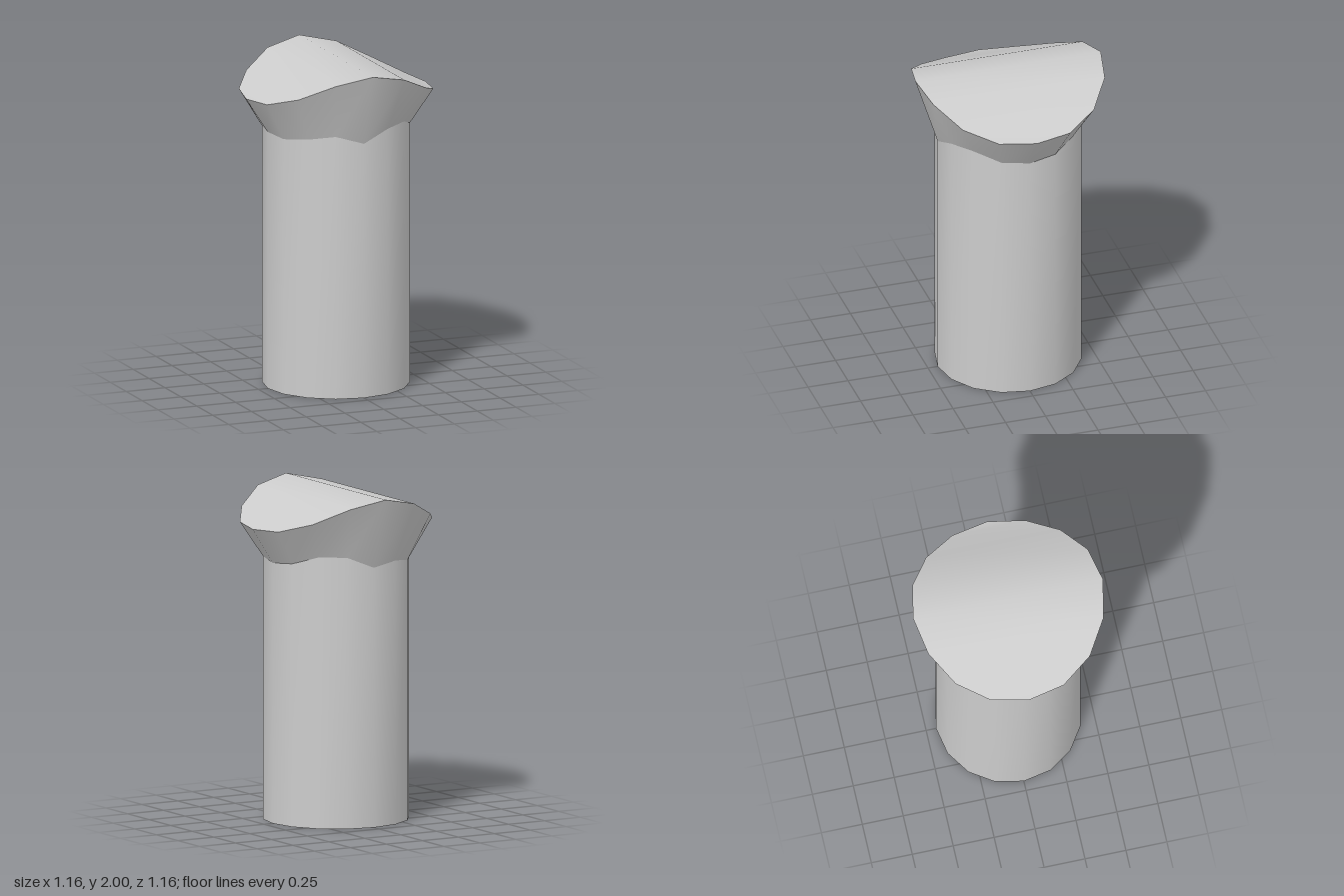
import * as THREE from 'three';

const SIDES = 16;

// Ring of points around the y axis, starting at +x and turning towards +z
function ring(radius, height) {
  return Array.from({ length: SIDES }, (_, i) => {
    const a = (i / SIDES) * Math.PI * 2;
    return [radius * Math.cos(a), height(i), radius * Math.sin(a)];
  });
}

// Smooth band of quads between two rows of points
function band(a, b, closed) {
  const n = a.length;
  const index = [];
  for (let i = 0; i < (closed ? n : n - 1); i++) {
    const j = (i + 1) % n;
    index.push(i, n + i, j, n + i, n + j, j);
  }
  const geo = new THREE.BufferGeometry();
  geo.setAttribute('position', new THREE.Float32BufferAttribute([...a, ...b].flat(), 3));
  geo.setIndex(index);
  geo.computeVertexNormals();
  return geo;
}

export function createModel() {
  const group = new THREE.Group();
  group.name = 'column';
  const grey = new THREE.MeshStandardMaterial({ color: 0xcccccc, side: THREE.DoubleSide });
  grey.name = 'grey';

  const add = (name, geo) => {
    const mesh = new THREE.Mesh(geo, grey);
    mesh.name = name;
    group.add(mesh);
  };

  // Uneven seam where the shaft meets the flare
  const seam = [1.575, 1.59, 1.64, 1.63, 1.56, 1.61, 1.585, 1.565,
    1.575, 1.57, 1.575, 1.595, 1.57, 1.64, 1.64, 1.59];
  // Ridge heights, from the outer edge at x = 0.58 in to the middle at x = 0
  const ridge = [1.79, 1.8, 1.86, 1.953, 2];

  const foot = ring(0.44, () => 0);
  const neck = ring(0.44, (i) => seam[i]);
  const rim = ring(0.58, (i) => {
    const k = i % 8;
    return ridge[Math.min(k, 8 - k)];
  });

  // Shaft, open at the foot
  add('shaft', band(foot, neck, true));

  // Flared head
  add('flare', band(neck, rim, true));

  // Ridged top, spanned from the front half of the rim to the back half
  const front = rim.slice(0, SIDES / 2 + 1);
  const back = front.map((_, i) => rim[(SIDES - i) % SIDES]);
  add('top', band(front, back, false));

  return group;
}
